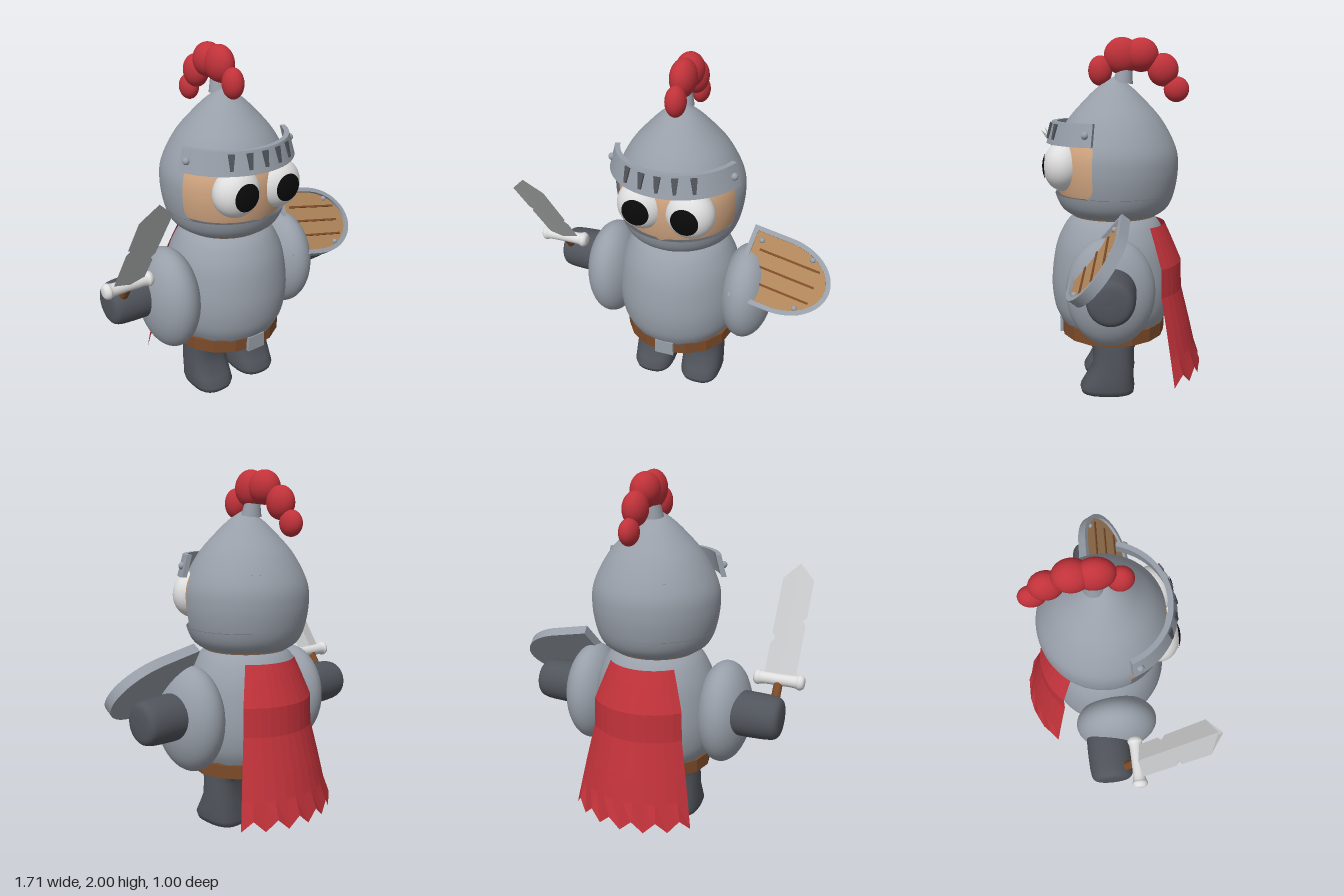
import * as THREE from 'three';
import { toCreasedNormals } from 'three/addons/utils/BufferGeometryUtils.js';

const V2 = (x, y) => new THREE.Vector2(x, y);
const pts = list => list.map(([x, y]) => V2(x, y));
const smooth = (list, n = 40) => new THREE.SplineCurve(pts(list)).getPoints(n);
const range = (a, b, n) => Array.from({ length: n + 1 }, (_, i) => a + (b - a) * i / n);

function mat(name, color, double = false) {
  const m = new THREE.MeshStandardMaterial({ color });
  m.name = name;
  if (double) m.side = THREE.DoubleSide;
  return m;
}

function add(parent, name, geometry, material, x = 0, y = 0, z = 0) {
  const mesh = new THREE.Mesh(geometry, material);
  mesh.name = name;
  mesh.position.set(x, y, z);
  parent.add(mesh);
  return mesh;
}

const ellipsoid = (rx, ry, rz) => new THREE.SphereGeometry(1, 36, 24).scale(rx, ry, rz);

function flat(geometry) {
  const g = geometry.toNonIndexed();
  g.computeVertexNormals();
  return g;
}

// Rounded-square cross-sections [y, centreZ, halfX, halfZ] joined into a closed solid
function loft(rings, seg = 32) {
  const pos = [], idx = [];
  for (const [y, cz, rx, rz] of rings) {
    for (let i = 0; i < seg; i++) {
      const a = i / seg * Math.PI * 2, c = Math.cos(a), s = Math.sin(a);
      pos.push(Math.sign(s) * Math.abs(s) ** 0.75 * rx, y, cz + Math.sign(c) * Math.abs(c) ** 0.75 * rz);
    }
  }
  for (let r = 0; r < rings.length - 1; r++) {
    for (let i = 0; i < seg; i++) {
      const a = r * seg + i, b = r * seg + (i + 1) % seg;
      idx.push(a, b, b + seg, a, b + seg, a + seg);
    }
  }
  const g = new THREE.BufferGeometry();
  g.setAttribute('position', new THREE.Float32BufferAttribute(pos, 3));
  g.setIndex(idx);
  g.computeVertexNormals();
  return g;
}

export function createModel() {
  const metal = mat('steel', 0x989fa9, true), dark = mat('dark cloth', 0x50545b);
  const red = mat('red', 0xc1323a, true), skin = mat('skin', 0xd2a681);
  const white = mat('white', 0xdedede), black = mat('black', 0x0a0a0a);
  const leather = mat('leather brown', 0x7c4b29), wood = mat('wood', 0xb0865a);
  const blade = mat('blade', 0xc6c7c8, true);
  const root = new THREE.Group();
  root.name = 'knight';
  const figure = new THREE.Group();
  figure.name = 'figure';
  figure.position.x = -0.03;
  root.add(figure);

  // Helmet shell: each row inside the face opening starts and ends at the opening's edge
  const curve = smooth([[0.25, 1.03], [0.3, 1.07], [0.335, 1.15], [0.355, 1.28], [0.342, 1.4], [0.265, 1.55],
    [0.16, 1.67], [0.09, 1.735], [0.03, 1.775], [0, 1.79]], 120);
  const radiusAt = y => {
    const i = Math.max(1, curve.findIndex(p => p.y >= y));
    const a = curve[i - 1], b = curve[i];
    return a.x + (b.x - a.x) * (y - a.y) / (b.y - a.y);
  };
  const low = 1.15, high = 1.455, corner = 0.06;
  const rows = [...range(1.031, low - 0.001, 8), ...range(low + 0.001, high - 0.001, 28), ...range(high + 0.001, 1.788, 24)];
  const shell = new THREE.LatheGeometry(rows.map(y => V2(radiusAt(y), y)), 80);
  const p = shell.attributes.position, n = shell.attributes.normal, v = new THREE.Vector3();
  const up = new THREE.Vector3(0, 1, 0);
  for (let i = 0; i < p.count; i++) {
    const y = p.getY(i);
    if (y < low || y > high) continue;
    const t = Math.max(0, 1 - Math.min(y - low, high - y) / corner);
    const open = 1.26 - 0.17 * (1 - Math.sqrt(1 - t * t));
    const phi = Math.floor(i / rows.length) / 80 * Math.PI * 2;
    const turn = open + phi * (1 - open / Math.PI) - phi;
    for (const attr of [p, n]) {
      v.fromBufferAttribute(attr, i).applyAxisAngle(up, turn);
      attr.setXYZ(i, v.x, v.y, v.z);
    }
  }
  add(figure, 'helmet', shell, metal);
  add(figure, 'head', new THREE.LatheGeometry([V2(0, 1.02), V2(0.235, 1.02),
    ...range(1.04, 1.5, 20).map(y => V2(radiusAt(y) - 0.02, y))], 64), skin);

  // Visor band with slots and rivets
  const band = pts([[0.352, 1.43], [0.38, 1.43], [0.348, 1.55], [0.32, 1.55], [0.352, 1.43]]);
  add(figure, 'visor', toCreasedNormals(new THREE.LatheGeometry(band, 40, -1.27, 2.54), 0.6), metal);
  for (const s of [-1, 1]) {
    add(figure, 'visorEnd', new THREE.ShapeGeometry(new THREE.Shape(band)), metal).rotation.y = s * 1.27 - Math.PI / 2;
    add(figure, 'visorRivet', ellipsoid(0.02, 0.02, 0.02), metal, s * 0.335, 1.49, 0.145);
  }
  const slotShape = new THREE.Shape(pts([[-0.008, -0.042], [0.008, -0.042], [0.018, 0.042], [-0.018, 0.042]]));
  for (let i = -2; i <= 2; i++) {
    const phi = Math.asin(i * 0.09 / 0.366);
    const slot = add(figure, 'visorSlot', new THREE.ExtrudeGeometry(slotShape, { depth: 0.009, bevelEnabled: false }),
      dark, 0.362 * Math.sin(phi), 1.497, 0.362 * Math.cos(phi));
    slot.rotation.set(-0.26, phi, 0, 'YXZ');
  }

  // Eyes with pupil caps
  for (const [x, y] of [[-0.12, 1.315], [0.145, 1.31]]) {
    add(figure, 'eye', ellipsoid(0.133, 0.135, 0.11), white, x, y, 0.275);
    add(figure, 'pupil', new THREE.SphereGeometry(1, 32, 8, 0, Math.PI * 2, 0, 0.58).rotateX(Math.PI / 2)
      .scale(0.136, 0.138, 0.115), black, x, y, 0.275);
  }

  // Plume
  add(figure, 'plumeSocket', new THREE.CylinderGeometry(0.042, 0.056, 0.07, 24), metal, 0, 1.79, -0.05).rotation.x = -0.15;
  for (const [y, z, rx, ry, rz] of [[1.82, 0.08, 0.055, 0.082, 0.066], [1.9, -0.04, 0.07, 0.1, 0.1],
    [1.905, -0.145, 0.077, 0.092, 0.095], [1.825, -0.265, 0.065, 0.09, 0.085], [1.72, -0.34, 0.05, 0.07, 0.07]]) {
    add(figure, 'plumePuff', ellipsoid(rx, ry, rz), red, 0, y, z);
  }

  // Tunic with ragged hem and flatter back
  const tunic = new THREE.LatheGeometry([V2(0, 0.43), ...smooth([[0.305, 0.41], [0.345, 0.5], [0.36, 0.65], [0.335, 0.84],
    [0.285, 0.96], [0.23, 1.02], [0.17, 1.05]], 30)], 96);
  const tp = tunic.attributes.position;
  for (let i = 0; i < tp.count; i++) {
    const x = tp.getX(i), z = tp.getZ(i);
    if (tp.getY(i) < 0.42) tp.setY(i, 0.41 + 0.012 * Math.sin(17 * Math.atan2(x, z)));
    if (z < 0) tp.setZ(i, z * 0.92);
  }
  add(figure, 'tunic', tunic, metal);

  // Belt, buckle, hips and legs
  add(figure, 'belt', flat(new THREE.CylinderGeometry(0.322, 0.322, 0.075, 16).scale(1, 1, 0.92)), leather, 0, 0.375, 0.01);
  add(figure, 'buckle', new THREE.BoxGeometry(0.11, 0.09, 0.025), metal, 0, 0.375, 0.303);
  add(figure, 'hips', ellipsoid(0.28, 0.11, 0.21), dark, 0, 0.385, 0);
  for (const s of [-1, 1]) {
    add(figure, 'leg', loft([[0.005, 0.03, 0.001, 0.001], [0.005, 0.03, 0.085, 0.12], [0.02, 0.035, 0.115, 0.15],
      [0.05, 0.037, 0.124, 0.155], [0.1, 0.025, 0.123, 0.138], [0.18, 0.003, 0.121, 0.117], [0.28, 0.003, 0.116, 0.117],
      [0.32, 0.003, 0.115, 0.14], [0.37, 0, 0.11, 0.18]]), dark, s * 0.152);

    // Upper arm and gloved hand
    add(figure, 'upperArm', ellipsoid(0.15, 0.295, 0.235), metal, s * 0.405, 0.68, s < 0 ? 0.035 : 0.01);
    const glove = smooth([[0.125, 0], [0.126, 0.08], [0.12, 0.2], [0.1, 0.243], [0.05, 0.255], [0, 0.256]], 24);
    add(figure, 'hand', new THREE.LatheGeometry(glove, 36), dark, s * 0.495, 0.715, s < 0 ? -0.025 : 0)
      .rotation.z = -s * Math.PI / 2;
  }

  // Cape with toothed hem
  const capeLine = pts([[0.465, 0.115], [0.43, 0.27], [0.4, 0.4], [0.35, 0.6], [0.345, 0.76], [0.285, 0.9], [0.25, 0.975]]);
  const cape = new THREE.LatheGeometry(capeLine, 12, Math.PI - 0.86, 1.72);
  const cp = cape.attributes.position;
  for (let i = 0; i < cp.count; i += capeLine.length) {
    if ((i / capeLine.length) % 2) cp.setY(i, 0.175);
  }
  add(figure, 'cape', flat(cape), red, 0, 0, -0.035);

  // Sword, leaning forward, with a notched ridged blade
  const sword = new THREE.Group();
  sword.name = 'sword';
  sword.position.set(-0.715, 0.885, 0.115);
  sword.rotation.x = 0.585;
  root.add(sword);
  const w = 0.088;
  const halves = [
    [[0, 0], [w, 0], [w, 0.2], [w - 0.022, 0.235], [w, 0.26], [w, 0.59], [0, 0.68]],
    [[0, 0], [-w, 0], [-w, 0.32], [-w + 0.022, 0.35], [-w, 0.365], [-w, 0.59], [0, 0.68]],
  ];
  for (const half of halves) {
    for (const s of [-1, 1]) {
      const g = new THREE.ShapeGeometry(new THREE.Shape(pts(half)));
      const bp = g.attributes.position;
      for (let i = 0; i < bp.count; i++) bp.setZ(i, s * 0.016 * (1 - Math.abs(bp.getX(i)) / w));
      if (s < 0) {
        const ix = g.index.array;
        for (let i = 0; i < ix.length; i += 3) [ix[i], ix[i + 1]] = [ix[i + 1], ix[i]];
      }
      g.computeVertexNormals();
      add(sword, 'blade', g, blade);
    }
  }
  const guard = smooth([[0, -0.143], [0.03, -0.138], [0.043, -0.115], [0.034, -0.08], [0.034, 0.08], [0.043, 0.115],
    [0.03, 0.138], [0, 0.143]], 40).map(q => V2(Math.max(0, q.x), q.y));
  add(sword, 'guard', new THREE.LatheGeometry(guard, 20).rotateZ(Math.PI / 2), white);
  add(sword, 'grip', new THREE.CylinderGeometry(0.025, 0.025, 0.17, 16), leather, 0, -0.085, 0);

  // Shield: local x runs to the rounded end, local z faces outward
  const shield = new THREE.Group();
  shield.name = 'shield';
  const ax = new THREE.Vector3(0.98, -0.2, 0.04).normalize();
  const az = new THREE.Vector3().crossVectors(ax, new THREE.Vector3(0.19, 0.75, -0.63)).normalize();
  const ay = new THREE.Vector3().crossVectors(az, ax);
  shield.quaternion.setFromRotationMatrix(new THREE.Matrix4().makeBasis(ax, ay, az));
  shield.position.set(0.35, 0.94, 0.08);
  root.add(shield);
  const outline = (inset, Kind = THREE.Shape) => {
    const s = new Kind(), h = 0.21 - inset;
    s.moveTo(inset, -h);
    s.lineTo(0.22, -h);
    s.absellipse(0.22, 0, 0.285 - inset, h, -Math.PI / 2, Math.PI / 2, false, 0);
    s.lineTo(inset, h);
    s.closePath();
    return s;
  };
  const extrude = (shape, depth) => new THREE.ExtrudeGeometry(shape, { depth, bevelEnabled: false, curveSegments: 24 });
  const rim = outline(0);
  rim.holes.push(outline(0.026, THREE.Path));
  add(shield, 'shieldRim', extrude(rim, 0.025), metal, 0, 0, -0.02);
  add(shield, 'shieldBack', extrude(outline(0), 0.03), metal, 0, 0, -0.05);
  add(shield, 'shieldBoard', extrude(outline(0.026), 0.009), wood, 0, 0, -0.02);
  for (const y of [-0.09, 0, 0.09]) {
    add(shield, 'boardGroove', new THREE.BoxGeometry(0.35, 0.012, 0.008), leather, 0.245, y, -0.009);
  }
  for (const x of [0.065, 0.36]) {
    for (const s of [-1, 1]) add(shield, 'shieldRivet', ellipsoid(0.015, 0.015, 0.015), metal, x, s * 0.14, -0.008);
  }
  return root;
}
